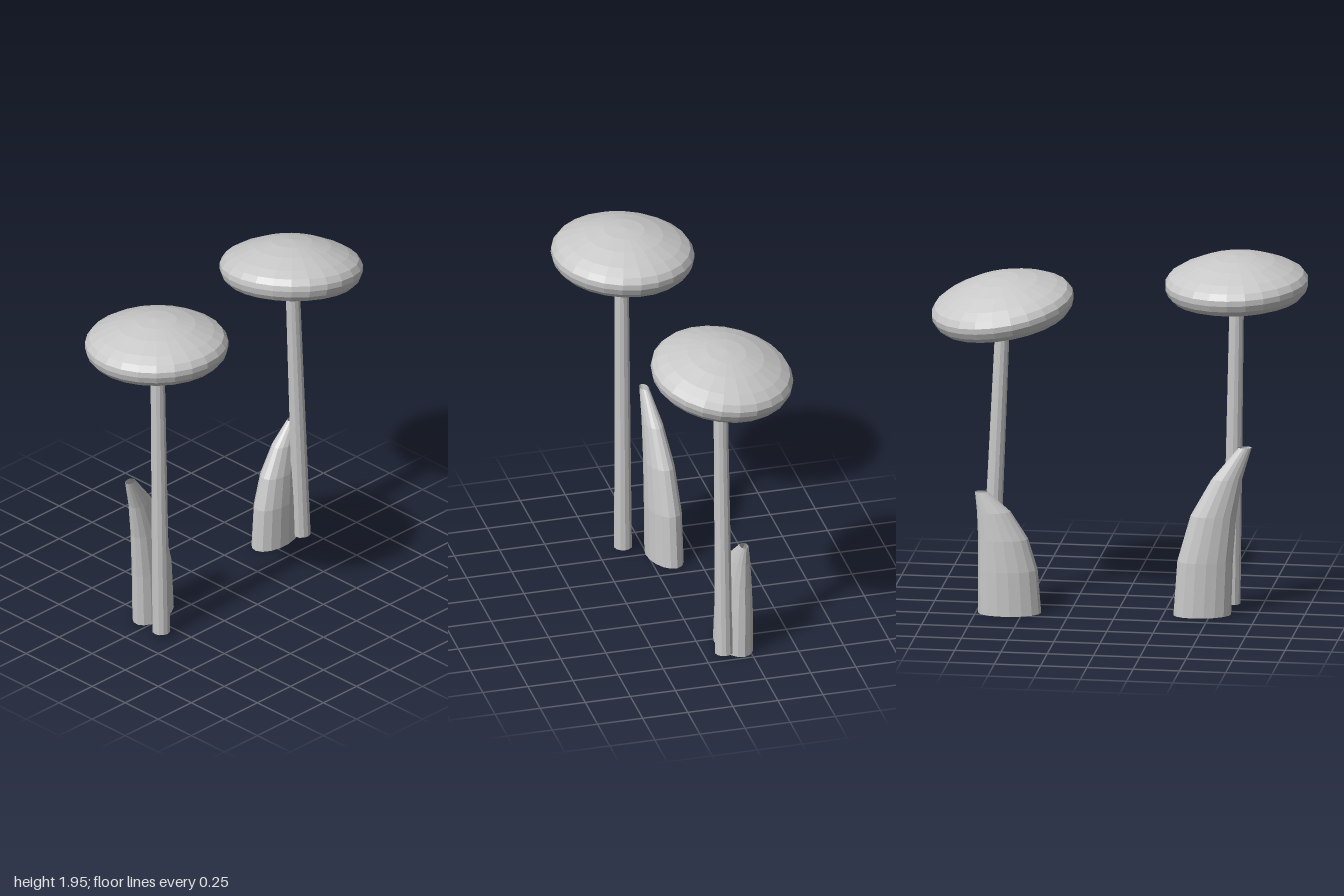
import * as THREE from 'three';

const grey = new THREE.MeshStandardMaterial({ color: 0xc8c8c8, flatShading: true, side: THREE.DoubleSide });
grey.name = 'plain grey';

const UP = new THREE.Vector3(0, 1, 0);

function part(name, geometry, parent) {
  const mesh = new THREE.Mesh(geometry, grey);
  mesh.name = name;
  parent.add(mesh);
  return mesh;
}

// Domed disc with a rolled rim and a flat underside, with a socket for the stem
function addCap(parent, base, normal) {
  const profile = [
    [0.045, 0], [0.3, 0], [0.345, 0.016], [0.372, 0.045], [0.385, 0.08], [0.384, 0.11],
    [0.362, 0.143], [0.31, 0.174], [0.21, 0.215], [0.11, 0.24], [0, 0.25],
  ].map(([r, y]) => new THREE.Vector2(r, y));
  const cap = part('cap', new THREE.LatheGeometry(profile, 24), parent);
  cap.position.set(...base);
  cap.quaternion.setFromUnitVectors(UP, new THREE.Vector3(...normal).normalize());
}

// Slim tapered tube between two points, open at the ends
function addStem(parent, from, to) {
  const a = new THREE.Vector3(...from), b = new THREE.Vector3(...to);
  const stem = part('stem', new THREE.CylinderGeometry(0.039, 0.049, a.distanceTo(b), 12, 1, true), parent);
  stem.position.copy(a).lerp(b, 0.5);
  stem.quaternion.setFromUnitVectors(UP, b.sub(a).normalize());
}

// Curved open sheath: elliptical rings [height, sideways shift, half width, half depth]
function addSheath(parent, x, z, turn, rings) {
  const wall = new THREE.CylinderGeometry(1, 1, 1, 16, rings.length - 1, true);
  const p = wall.attributes.position;
  for (let i = 0; i < p.count; i++) {
    const row = Math.round((p.getY(i) + 0.5) * (rings.length - 1));
    const [y, shift, w, d] = rings[row];
    p.setXYZ(i, shift + p.getX(i) * w, y, p.getZ(i) * d);
  }
  wall.computeVertexNormals();
  const sheath = part('sheath', wall, parent);
  sheath.position.set(x, 0, z);
  sheath.rotation.y = turn;
}

export function createModel() {
  const model = new THREE.Group();
  model.name = 'mushroomPair';

  const tall = new THREE.Group();
  tall.name = 'tallMushroom';
  addCap(tall, [-0.619, 1.7, 0.109], [0.03, 1, -0.05]);
  addStem(tall, [-0.587, 0.018, 0.11], [-0.616, 1.71, 0.11]);
  addSheath(tall, -0.457, -0.082, 0.22, [
    [0, 0, 0.155, 0.087], [0.3, -0.015, 0.149, 0.084], [0.55, -0.06, 0.123, 0.071],
    [0.75, -0.133, 0.082, 0.05], [0.92, -0.23, 0.035, 0.023],
  ]);

  const short = new THREE.Group();
  short.name = 'shortMushroom';
  addCap(short, [0.604, 1.592, -0.1], [0.152, 1, -0.125]);
  addStem(short, [0.688, 0.018, -0.103], [0.618, 1.598, -0.103]);
  addSheath(short, 0.569, -0.186, 0.13, [
    [0, 0, 0.169, 0.094], [0.24, 0.01, 0.16, 0.09], [0.41, 0.035, 0.134, 0.077],
    [0.56, 0.085, 0.09, 0.053], [0.67, 0.152, 0.034, 0.023],
  ]);

  model.add(tall, short);
  return model;
}
